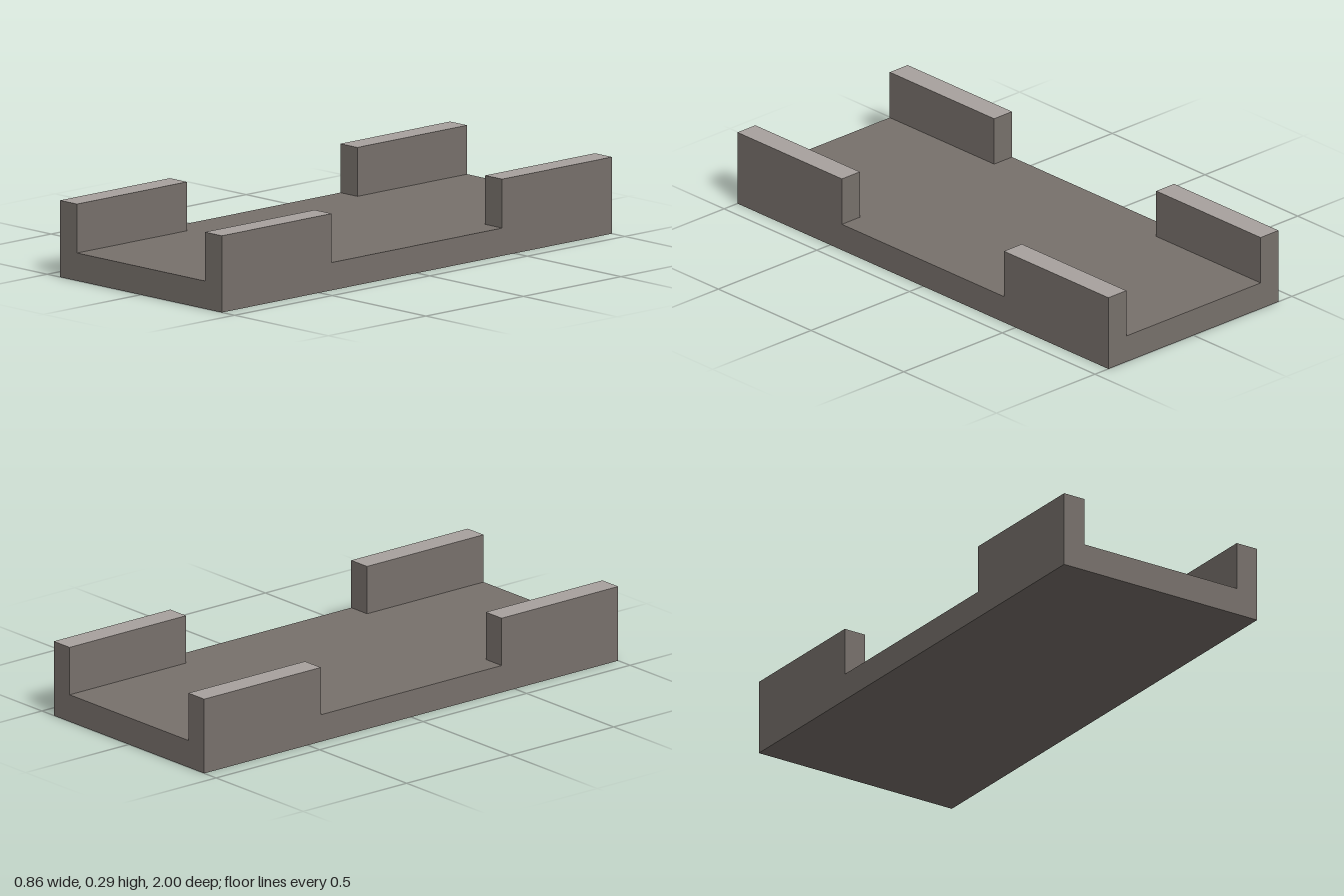
import * as THREE from 'three';

const WIDTH = 0.864, LENGTH = 2, DECK = 0.105, HEIGHT = 0.29;
const RAIL_W = 0.091, RAIL_L = 0.563;

export function createModel() {
  const model = new THREE.Group();
  model.name = 'channelTray';

  const stone = new THREE.MeshStandardMaterial({ color: 0x78716c });
  stone.name = 'stone grey';
  const lightStone = new THREE.MeshStandardMaterial({ color: 0xa8a29e });
  lightStone.name = 'light stone grey';

  // Flat base slab
  const deck = new THREE.Mesh(new THREE.BoxGeometry(WIDTH, DECK, LENGTH), stone);
  deck.name = 'deck';
  deck.position.y = DECK / 2;
  model.add(deck);

  // Four corner walls, each with a lighter top face
  const wallGeometry = new THREE.BoxGeometry(RAIL_W, HEIGHT - DECK, RAIL_L);
  const wallMaterials = [stone, stone, lightStone, stone, stone, stone];
  for (const sx of [-1, 1]) {
    for (const sz of [-1, 1]) {
      const wall = new THREE.Mesh(wallGeometry, wallMaterials);
      wall.name = (sz > 0 ? 'front' : 'back') + (sx > 0 ? 'Left' : 'Right') + 'Wall';
      wall.position.set(sx * (WIDTH - RAIL_W) / 2, (HEIGHT + DECK) / 2, sz * (LENGTH - RAIL_L) / 2);
      model.add(wall);
    }
  }
  return model;
}
